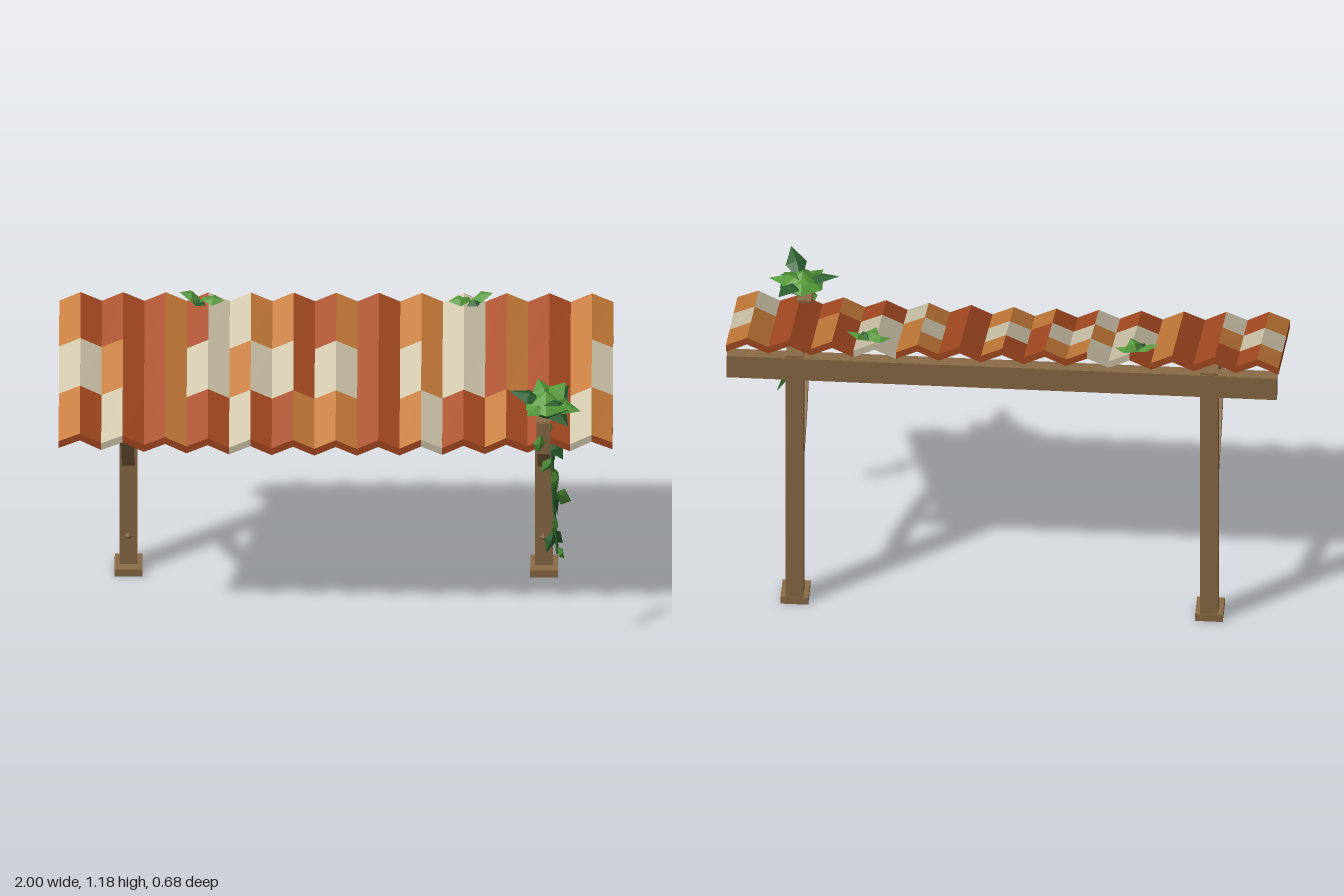
import * as THREE from 'three';

const V = (x, y, z) => new THREE.Vector3(x, y, z);

function material(name, color, side = THREE.FrontSide) {
  const m = new THREE.MeshStandardMaterial({ color, flatShading: true, side });
  m.name = name;
  return m;
}

// Flat-shaded mesh from a list of triangles' corner points
function meshFromPoints(points, mat, name) {
  const g = new THREE.BufferGeometry().setFromPoints(points);
  g.computeVertexNormals();
  const mesh = new THREE.Mesh(g, mat);
  mesh.name = name;
  return mesh;
}

export function createModel() {
  const model = new THREE.Group();
  model.name = 'tiledAwning';
  const wood = material('wood', 0x8b6b45);
  const rust = material('rustTile', 0xa84a22);
  const orange = material('orangeTile', 0xc57a38);
  const beige = material('beigeTile', 0xcdc3a8);
  const green = material('leafGreen', 0x559a3a, THREE.DoubleSide);
  const darkGreen = material('darkLeafGreen', 0x2c6130, THREE.DoubleSide);

  const box = (parent, name, w, h, d, x, y, z) => {
    const mesh = new THREE.Mesh(new THREE.BoxGeometry(w, h, d), wood);
    mesh.position.set(x, y, z);
    mesh.name = name;
    parent.add(mesh);
  };

  // Profile in the (z, y) plane given thickness along x
  const sidePiece = (parent, name, pts, width, x) => {
    const shape = new THREE.Shape(pts.map(([z, y]) => new THREE.Vector2(-z, y)));
    const g = new THREE.ExtrudeGeometry(shape, { depth: width, bevelEnabled: false });
    g.translate(0, 0, -width / 2).rotateY(Math.PI / 2);
    const mesh = new THREE.Mesh(g, wood);
    mesh.position.x = x;
    mesh.name = name;
    parent.add(mesh);
  };

  // Posts with feet, rafters and curved braces
  for (const s of [-1, 1]) {
    const frame = new THREE.Group();
    frame.name = s > 0 ? 'leftFrame' : 'rightFrame';
    const x = s * 0.75;
    box(frame, 'post', 0.064, 1.105, 0.067, x, 0.5525, -0.307);
    box(frame, 'foot', 0.1, 0.03, 0.108, x, 0.015, -0.289);
    const peg = new THREE.Mesh(new THREE.OctahedronGeometry(0.016), wood);
    peg.position.set(x, 0.15, -0.273);
    peg.scale.z = 0.5;
    peg.name = 'peg';
    frame.add(peg);
    sidePiece(frame, 'rafter',
      [[-0.29, 1.03], [0.215, 0.845], [0.235, 0.885], [-0.29, 1.09]], 0.056, x);
    sidePiece(frame, 'brace', [
      [0.19, 0.875], [0.1, 0.745], [0, 0.63], [-0.15, 0.53], [-0.28, 0.473],
      [-0.28, 0.515], [-0.14, 0.567], [-0.025, 0.655], [0.07, 0.77], [0.14, 0.885],
    ], 0.046, x);
    model.add(frame);
  }
  box(model, 'backBeam', 1.99, 0.095, 0.047, 0, 1.048, -0.32);

  // Corrugated roof: 26 sloping strips, three tile rows each (back to front)
  const rows = [
    'ORRRRORWWOORRORROOWWRORROO',
    'WWORROWWOWWRWWRRWOWWRORROW',
    'ORWRRORRWRROOORROWRRORRRWO',
  ];
  const mats = { O: orange, R: rust, W: beige };
  const buckets = { O: [], R: [], W: [] };
  const quad = (key, a, b, c, d) => buckets[key].push(a, b, c, a, c, d);
  const zs = [-0.32, -0.125, 0.077, 0.28];
  const T = 0.029;
  // Roof surface point, sagging towards the middle of the front edge
  const at = (i, z, drop = 0) => {
    const x = -1 + i / 13;
    const sag = 0.03 * (1 - x * x) * (z + 0.32) / 0.6;
    return V(x, 0.906 + (0.28 - z) * 0.366 + (i % 2) * 0.037 - sag - drop, z);
  };
  for (let i = 0; i < 26; i++) {
    rows.forEach((row, r) => {
      const a = zs[r], b = zs[r + 1];
      quad(row[i], at(i, b), at(i + 1, b), at(i + 1, a), at(i, a));
    });
    const under = [9, 14, 20].includes(i) ? 'O' : 'R';
    const [a, b] = [zs[0], zs[3]];
    quad(under, at(i, a, T), at(i + 1, a, T), at(i + 1, b, T), at(i, b, T));
    const edge = (row) => (row[i] === 'W' ? 'W' : 'R');
    quad(edge(rows[2]), at(i, b, T), at(i + 1, b, T), at(i + 1, b), at(i, b));
    quad(edge(rows[0]), at(i + 1, a, T), at(i, a, T), at(i, a), at(i + 1, a));
  }
  quad('R', at(0, zs[0], T), at(0, zs[3], T), at(0, zs[3]), at(0, zs[0]));
  quad('R', at(26, zs[3], T), at(26, zs[0], T), at(26, zs[0]), at(26, zs[3]));
  const roof = new THREE.Group();
  roof.name = 'roof';
  for (const k of ['O', 'R', 'W']) roof.add(meshFromPoints(buckets[k], mats[k], mats[k].name + 's'));
  model.add(roof);

  // Bracket hooked over the front roof edge
  const bracket = new THREE.Group();
  bracket.name = 'vineBracket';
  box(bracket, 'bracketArm', 0.05, 0.01, 0.14, 0.75, 0.992, 0.22);
  box(bracket, 'bracketUpright', 0.05, 0.13, 0.01, 0.75, 0.93, 0.287);
  model.add(bracket);

  // Leaf: diamond with a raised middle, from base to tip, facing `up`
  const leaf = (parent, base, tip, width, up, mat) => {
    const b = V(...base), t = V(...tip), dir = t.clone().sub(b);
    const side = dir.clone().cross(V(...up)).normalize();
    const n = side.clone().cross(dir).normalize();
    const mid = b.clone().addScaledVector(dir, 0.5);
    const l = mid.clone().addScaledVector(side, -width / 2);
    const r = mid.clone().addScaledVector(side, width / 2);
    mid.addScaledVector(n, width * 0.22);
    parent.add(meshFromPoints([b, r, mid, r, t, mid, t, l, mid, l, b, mid], mat, 'leaf'));
  };

  // Bushy crown of the vine: light leafy top over a darker underside
  const vine = new THREE.Group();
  vine.name = 'vine';
  const crownTop = new THREE.Mesh(new THREE.ConeGeometry(0.085, 0.05, 6), green);
  crownTop.position.set(0.76, 1.055, 0.215);
  crownTop.name = 'crownTop';
  const crownBase = new THREE.Mesh(new THREE.CylinderGeometry(0.085, 0.03, 0.045, 6), darkGreen);
  crownBase.position.set(0.765, 1.007, 0.22);
  crownBase.name = 'crownBase';
  vine.add(crownTop, crownBase);
  [
    [[0.625, 1.075, 0.2], darkGreen], [[0.69, 1.03, 0.3], green], [[0.73, 1.085, 0.13], green],
    [[0.84, 1.04, 0.105], darkGreen], [[0.885, 1.02, 0.25], green], [[0.83, 1.1, 0.18], green],
    [[0.81, 1.1, 0.34], darkGreen], [[0.84, 0.985, 0.3], darkGreen],
  ].forEach(([tip, mat]) => leaf(vine, [0.765, 1.035, 0.22], tip, 0.08, [0.1, 1, 0.15], mat));

  // Hanging stem
  const path = new THREE.CatmullRomCurve3([
    V(0.77, 1.0, 0.24), V(0.77, 0.95, 0.255), V(0.78, 0.85, 0.25), V(0.785, 0.65, 0.24), V(0.8, 0.42, 0.262),
  ]);
  const stem = new THREE.Mesh(new THREE.TubeGeometry(path, 10, 0.006, 5), darkGreen);
  stem.name = 'stem';
  vine.add(stem);

  // Hanging leaves: base, tip, width, facing
  const X = [1, 0, 0.35], Z = [0.3, 0, 1];
  [
    [[0.775, 0.965, 0.24], [0.79, 0.8, 0.235], 0.09, X, green],
    [[0.74, 0.95, 0.295], [0.73, 0.87, 0.295], 0.05, Z, green],
    [[0.77, 0.92, 0.26], [0.82, 0.84, 0.29], 0.06, Z, darkGreen],
    [[0.78, 0.78, 0.24], [0.8, 0.675, 0.24], 0.08, X, green],
    [[0.79, 0.82, 0.24], [0.74, 0.76, 0.25], 0.05, Z, green],
    [[0.79, 0.71, 0.25], [0.8, 0.605, 0.295], 0.055, X, darkGreen],
    [[0.79, 0.66, 0.23], [0.85, 0.58, 0.16], 0.06, X, green],
    [[0.79, 0.58, 0.25], [0.79, 0.49, 0.255], 0.065, X, green],
    [[0.79, 0.52, 0.25], [0.76, 0.44, 0.29], 0.045, Z, darkGreen],
    [[0.79, 0.51, 0.25], [0.82, 0.435, 0.215], 0.045, X, darkGreen],
    [[0.8, 0.445, 0.262], [0.825, 0.4, 0.262], 0.045, X, green],
  ].forEach((args) => leaf(vine, ...args));
  model.add(vine);

  // Small tufts growing at the back edge of the roof
  for (const s of [-1, 1]) {
    const tuft = new THREE.Group();
    tuft.name = 'roofTuft';
    const c = [s * 0.485, 1.15, -0.29];
    [
      [[0.08, 0.035, 0.005], green], [[-0.08, 0.005, 0.015], green],
      [[0.025, 0.005, 0.05], darkGreen], [[-0.025, 0.03, 0.045], green],
    ].forEach(([[x, y, z], mat]) =>
      leaf(tuft, c, [c[0] + s * x, c[1] + y, c[2] + z], 0.06, [0, 1, 0.2], mat));
    model.add(tuft);
  }
  return model;
}
